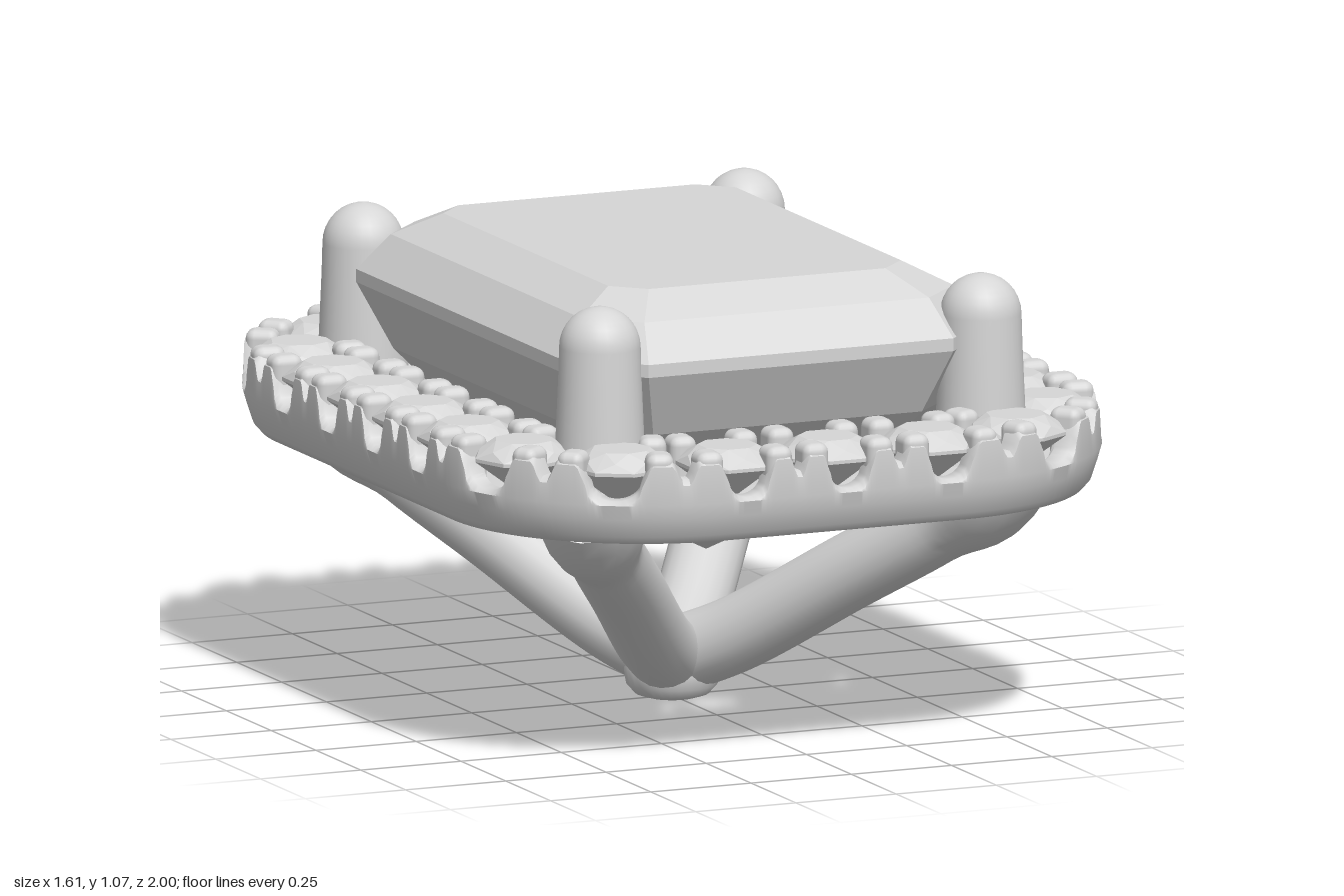
import * as THREE from 'three';
import { mergeGeometries, mergeVertices, toCreasedNormals } from 'three/addons/utils/BufferGeometryUtils.js';
import { RoundedBoxGeometry } from 'three/addons/geometries/RoundedBoxGeometry.js';
import { ConvexGeometry } from 'three/addons/geometries/ConvexGeometry.js';

// Centreline of the halo: a rounded rectangle measured by arc length
const CX = 0.295, CZ = 0.49, R = 0.38;
const ARC = R * Math.PI / 2;
const LENGTH = 4 * (CX + ARC + CZ);
const STONES = 22;
const PITCH = LENGTH / STONES;
const { smoothstep, clamp } = THREE.MathUtils;

// Position and outward normal at arc length s, starting at the middle of the front
function frame(s) {
  s = ((s % LENGTH) + LENGTH) % LENGTH;
  let mx = 1, mz = 1;
  if (s > LENGTH / 2) { s = LENGTH - s; mx = -1; }
  if (s > LENGTH / 4) { s = LENGTH / 2 - s; mz = -1; }
  let x, z, a;
  if (s < CX) { x = s; z = CZ; a = 0; }
  else if (s < CX + ARC) { x = CX; z = CZ; a = (s - CX) / R; }
  else { x = CX; z = CZ - (s - CX - ARC); a = Math.PI / 2; }
  const nx = Math.sin(a), nz = Math.cos(a);
  return { x: mx * (x + R * nx), z: mz * (z + R * nz), nx: mx * nx, nz: mz * nz };
}

// Rim height: a round notch at each stone, a narrow slot between neighbouring claws
function rimHeight(s) {
  const u = Math.abs(s / PITCH - Math.round(s / PITCH));
  const cup = 0.05 * (1 - Math.sqrt(Math.max(0, 1 - (u / 0.2) ** 2)));
  const wall = 0.045 * smoothstep(u, 0.19, 0.27);
  const slot = 0.045 * smoothstep(u, 0.4, 0.48);
  return 0.662 + cup + wall - slot;
}

// Halo band: a channel section swept round the rectangle
function haloGeometry() {
  const steps = STONES * 40, pos = [], index = [];
  let m = 0;
  for (let i = 0; i < steps; i++) {
    const s = i / steps * LENGTH, f = frame(s), top = rimHeight(s);
    const inner = Math.min(top, 0.715);
    const section = [
      [-0.19, 0.558], [0.06, 0.555], [0.09, 0.56], [0.106, 0.578], [0.12, 0.62],
      [0.13, 0.655], [0.128, top - 0.012], [0.114, top], [0.075, top], [0.055, 0.65],
      [-0.06, 0.65], [-0.075, inner], [-0.125, inner], [-0.14, inner - 0.02], [-0.15, 0.62], [-0.19, 0.575],
    ];
    m = section.length;
    for (const [o, y] of section) pos.push(f.x + f.nx * o, y, f.z + f.nz * o);
  }
  for (let i = 0; i < steps; i++) {
    for (let j = 0; j < m; j++) {
      const i2 = (i + 1) % steps, j2 = (j + 1) % m;
      const a = i * m + j, b = i * m + j2, c = i2 * m + j, d = i2 * m + j2;
      index.push(a, c, b, b, c, d);
    }
  }
  const g = new THREE.BufferGeometry();
  g.setAttribute('position', new THREE.Float32BufferAttribute(pos, 3));
  g.setIndex(index);
  return toCreasedNormals(g, 0.8);
}

// Points of a rectangle with cut corners
function cutRect(hx, hz, cut, y) {
  const pts = [];
  for (const sx of [-1, 1]) for (const sz of [-1, 1]) {
    pts.push(new THREE.Vector3(sx * (hx - cut), y, sz * hz));
    pts.push(new THREE.Vector3(sx * hx, y, sz * (hz - cut)));
  }
  return pts;
}

// Small faceted round stone
function stoneGeometry() {
  const pts = [new THREE.Vector3(0, 0.63, 0)];
  for (const [r, y, turn] of [[0.118, 0.718, 0], [0.118, 0.726, 0], [0.098, 0.745, 0.5], [0.068, 0.764, 0]]) {
    for (let k = 0; k < 8; k++) {
      const a = (k + turn + 0.5) * Math.PI / 4;
      pts.push(new THREE.Vector3(Math.sin(a) * r, y, Math.cos(a) * r));
    }
  }
  return new ConvexGeometry(pts);
}

// Strut from the bottom tip to one corner of the halo, flaring into its underside
function strutGeometry(sx, sz) {
  const curve = new THREE.CatmullRomCurve3([
    [0, 0.09, 0], [0.1, 0.158, 0.13], [0.28, 0.335, 0.375], [0.41, 0.46, 0.55],
    [0.48, 0.54, 0.645], [0.505, 0.61, 0.68],
  ].map(([x, y, z]) => new THREE.Vector3(x * sx, y, z * sz)));
  const rings = 36, sides = 20;
  const g = new THREE.TubeGeometry(curve, rings, 0.088, sides);
  const p = g.attributes.position, v = new THREE.Vector3();
  for (let i = 0; i <= rings; i++) {
    const c = curve.getPointAt(i / rings);
    const k = 1 + 0.5 * smoothstep(i / rings, 0.78, 1);
    for (let j = 0; j <= sides; j++) {
      const n = i * (sides + 1) + j;
      v.fromBufferAttribute(p, n).sub(c).multiplyScalar(k).add(c);
      p.setXYZ(n, v.x, clamp(v.y, 0, 0.64), v.z);
    }
  }
  g.deleteAttribute('uv');
  g.deleteAttribute('normal');
  const welded = mergeVertices(g, 1e-5);
  welded.computeVertexNormals();
  return welded;
}

// Turned solid from [radius, height] pairs
const lathe = (profile) => new THREE.LatheGeometry(profile.map(([r, y]) => new THREE.Vector2(r, y)), 28);

export function createModel() {
  const silver = new THREE.MeshStandardMaterial({ color: 0xd6d6d6 });
  silver.name = 'silver grey';
  const model = new THREE.Group();
  model.name = 'haloSetting';
  const add = (name, geometry) => {
    const mesh = new THREE.Mesh(geometry, silver);
    mesh.name = name;
    model.add(mesh);
    return mesh;
  };

  add('haloBand', haloGeometry());

  // Step-cut centre gem with a keel at the bottom
  add('centreGem', new ConvexGeometry([
    ...cutRect(0.365, 0.53, 0.07, 1.065),
    ...cutRect(0.465, 0.64, 0.11, 1.012),
    ...cutRect(0.535, 0.72, 0.155, 0.93),
    ...cutRect(0.535, 0.72, 0.155, 0.90),
    ...cutRect(0.465, 0.645, 0.13, 0.75),
    ...cutRect(0.29, 0.475, 0.08, 0.55),
    new THREE.Vector3(0, 0.375, 0.19), new THREE.Vector3(0, 0.375, -0.19),
  ]));

  // Halo stones, each held by four small claws
  const stones = [], claws = [];
  const stone = stoneGeometry();
  const claw = new RoundedBoxGeometry(0.064, 0.15, 0.076, 2, 0.022);
  for (let i = 0; i < STONES; i++) {
    const f = frame(i * PITCH);
    stones.push(stone.clone().rotateY(Math.atan2(f.nx, f.nz)).translate(f.x, 0, f.z));
    for (const side of [-1, 1]) {
      const c = frame((i + side * 0.32) * PITCH);
      const a = Math.atan2(c.nx, c.nz);
      for (const o of [0.088, -0.105]) {
        claws.push(claw.clone().rotateY(a).translate(c.x + c.nx * o, 0.697, c.z + c.nz * o));
      }
    }
  }
  add('haloStones', mergeGeometries(stones));
  add('haloClaws', mergeGeometries(claws));

  // Corner prongs with domed tips, and the struts beneath them
  const profile = [[0.105, 0.57], [0.102, 0.74], [0.095, 0.9]];
  for (let k = 0; k <= 8; k++) {
    const a = k / 8 * Math.PI / 2;
    profile.push([0.093 * Math.cos(a), 0.97 + 0.093 * Math.sin(a)]);
  }
  const prong = lathe(profile);
  for (const sx of [-1, 1]) for (const sz of [-1, 1]) {
    add('cornerProng', prong).position.set(sx * 0.475, 0, sz * 0.66);
    add('strut', strutGeometry(sx, sz));
  }

  // Flattened tip where the struts meet
  add('bottomTip', lathe([
    [0, 0], [0.06, 0], [0.085, 0.008], [0.105, 0.03], [0.112, 0.07], [0.1, 0.12], [0.05, 0.18], [0, 0.183],
  ]));

  return model;
}
